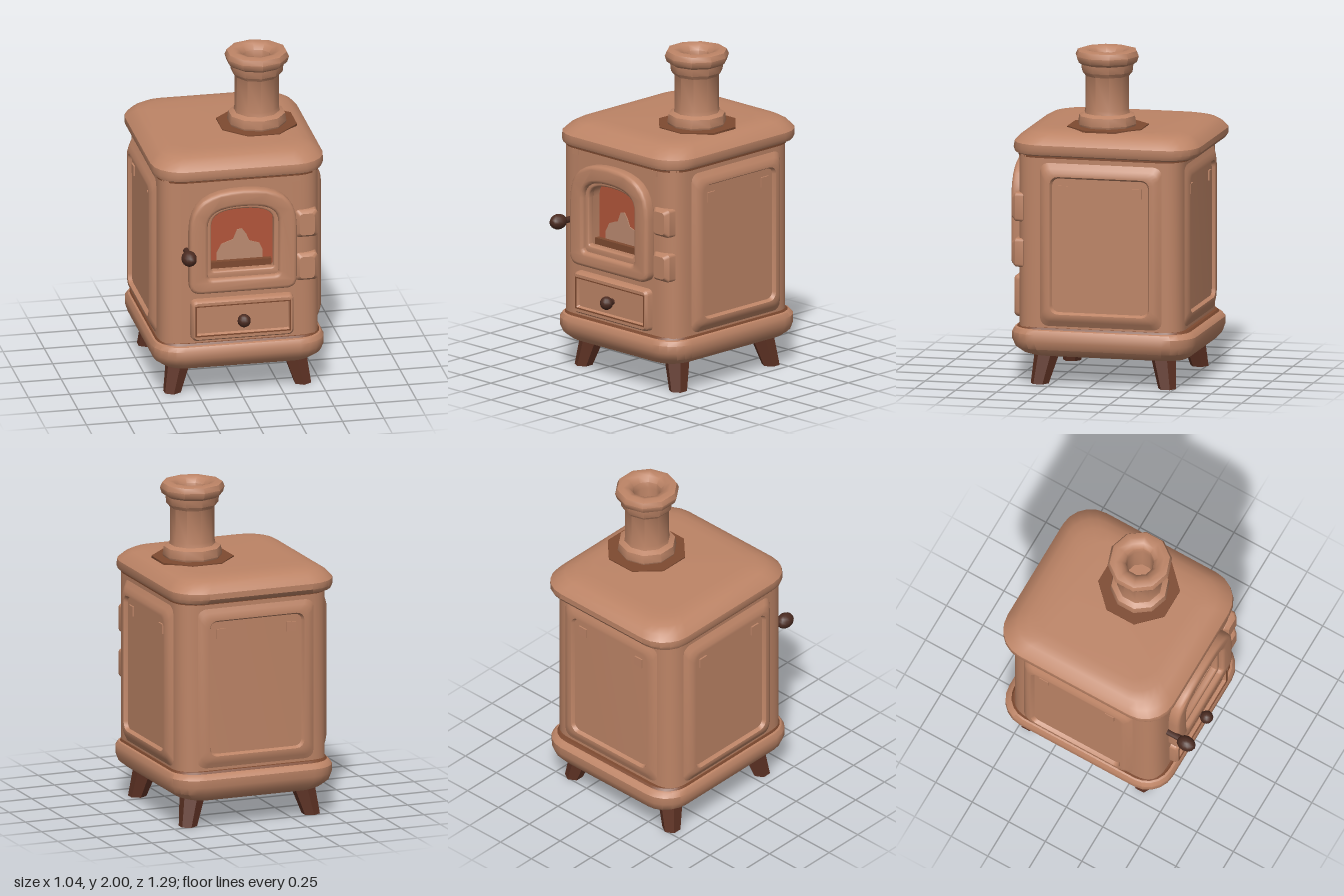
import * as THREE from 'three';
import { toCreasedNormals } from 'three/addons/utils/BufferGeometryUtils.js';

const paint = (name, color, side = THREE.FrontSide) => {
  const m = new THREE.MeshStandardMaterial({ color, side });
  m.name = name;
  return m;
};

// Rounded rectangles stacked along +z; each section is [z, halfWidth, halfHeight, cornerRadius, centreY]
function loft(sections, steps = 4) {
  const pos = [], idx = [], n = 4 * (steps + 1);
  for (const [z, hx, hy, r, cy = 0] of sections) {
    for (let c = 0; c < 4; c++) {
      const sx = c === 0 || c === 3 ? 1 : -1, sy = c < 2 ? 1 : -1;
      for (let i = 0; i <= steps; i++) {
        const a = (c + i / steps) * Math.PI / 2;
        pos.push(sx * (hx - r) + r * Math.cos(a), cy + sy * (hy - r) + r * Math.sin(a), z);
      }
    }
  }
  const last = (sections.length - 1) * n;
  for (let s = 0; s < last; s += n) {
    for (let i = 0; i < n; i++) {
      const j = (i + 1) % n;
      idx.push(s + i, s + j, s + n + j, s + i, s + n + j, s + n + i);
    }
  }
  for (let i = 1; i < n - 1; i++) {
    idx.push(0, i + 1, i, last, last + i, last + i + 1);
  }
  const g = new THREE.BufferGeometry();
  g.setAttribute('position', new THREE.Float32BufferAttribute(pos, 3));
  g.setIndex(idx);
  return toCreasedNormals(g, 0.6);
}

// Horizontal slab: rows of [y, halfWidth, backZ, frontZ, cornerRadius]
const slab = rows => loft(rows.map(([y, hx, z0, z1, r]) =>
  [y, hx, (z1 - z0) / 2, r, -(z0 + z1) / 2]), 5).rotateX(-Math.PI / 2);

// Arched outline with rounded lower corners
function arch(hx, y0, ySide, yTop, r) {
  const s = new THREE.Shape();
  s.moveTo(-hx + r, y0);
  s.lineTo(hx - r, y0);
  s.quadraticCurveTo(hx, y0, hx, y0 + r);
  s.lineTo(hx, ySide);
  s.bezierCurveTo(hx, yTop - (yTop - ySide) * 0.25, hx * 0.65, yTop, 0, yTop);
  s.bezierCurveTo(-hx * 0.65, yTop, -hx, yTop - (yTop - ySide) * 0.25, -hx, ySide);
  s.lineTo(-hx, y0 + r);
  s.quadraticCurveTo(-hx, y0, -hx + r, y0);
  return s;
}

function rect(hx, y0, y1) {
  return new THREE.Shape([[-hx, y0], [hx, y0], [hx, y1], [-hx, y1]].map(p => new THREE.Vector2(...p)));
}

function extrude(shape, z, depth, bevel = 0) {
  const g = new THREE.ExtrudeGeometry(shape, {
    depth: depth - 2 * bevel, curveSegments: 8, bevelEnabled: bevel > 0,
    bevelThickness: bevel, bevelSize: bevel, bevelOffset: -bevel, bevelSegments: 3,
  });
  return toCreasedNormals(g.translate(0, 0, z + bevel), 0.6);
}

export function createModel() {
  const iron = paint('clayIron', 0xbd8466);
  const trim = paint('brownTrim', 0x7e4a30);
  const legBrown = paint('legBrown', 0x5e3224);
  const knobBrown = paint('knobBrown', 0x4c2c22);
  const glow = paint('glowRed', 0xb2553a);
  const flameTan = paint('flameTan', 0xbb8a70);
  const flueIron = paint('flueIron', 0xbd8466, THREE.DoubleSide);

  const stove = new THREE.Group();
  stove.name = 'stove';
  const add = (name, geo, mat, x = 0, y = 0, z = 0, parent = stove) => {
    const m = new THREE.Mesh(geo, mat);
    m.name = name;
    m.position.set(x, y, z);
    parent.add(m);
    return m;
  };

  // Body, notched behind the door, with a front wall pierced by the firebox
  const hx = 0.485, f = -0.455, b = 0.555, r = 0.14, nx = 0.285;
  const plan = new THREE.Shape();
  plan.moveTo(nx, -0.38);
  plan.lineTo(nx, f);
  plan.lineTo(hx - r, f);
  plan.quadraticCurveTo(hx, f, hx, f + r);
  plan.lineTo(hx, b - r);
  plan.quadraticCurveTo(hx, b, hx - r, b);
  plan.lineTo(r - hx, b);
  plan.quadraticCurveTo(-hx, b, -hx, b - r);
  plan.lineTo(-hx, f + r);
  plan.quadraticCurveTo(-hx, f, r - hx, f);
  plan.lineTo(-nx, f);
  plan.lineTo(-nx, -0.38);
  add('body', extrude(plan, 0.31, 1.09).rotateX(-Math.PI / 2), iron);
  const wall = rect(nx, 0.31, 1.4);
  wall.holes.push(arch(0.2, 0.79, 1.1, 1.21, 0.02));
  add('frontWall', extrude(wall, 0.38, 0.075), iron);

  // Base and domed lid
  add('base', slab([
    [0.17, 0.42, -0.55, 0.4, 0.12], [0.185, 0.46, -0.575, 0.44, 0.14], [0.22, 0.505, -0.605, 0.48, 0.16],
    [0.265, 0.52, -0.62, 0.5, 0.17], [0.31, 0.52, -0.62, 0.5, 0.17], [0.335, 0.505, -0.6, 0.485, 0.16],
    [0.345, 0.48, -0.57, 0.46, 0.14]]), iron);
  add('baseSeam', slab([[0.34, 0.495, -0.585, 0.472, 0.15], [0.352, 0.49, -0.575, 0.465, 0.15]]), trim);
  add('lidSeam', slab([[1.375, 0.492, -0.578, 0.465, 0.15], [1.39, 0.492, -0.578, 0.465, 0.15]]), trim);
  add('lid', slab([
    [1.385, 0.49, -0.6, 0.465, 0.15], [1.395, 0.51, -0.625, 0.485, 0.17], [1.42, 0.522, -0.643, 0.495, 0.19],
    [1.455, 0.52, -0.643, 0.49, 0.19], [1.49, 0.49, -0.615, 0.455, 0.18], [1.515, 0.45, -0.575, 0.41, 0.16],
    [1.528, 0.4, -0.52, 0.36, 0.14], [1.532, 0.34, -0.46, 0.3, 0.12]]), iron);
  const outline = rect(0.3, -0.25, 0.4);
  outline.holes.push(rect(0.285, -0.235, 0.385));
  add('undersideOutline', extrude(outline, 0.165, 0.006).rotateX(-Math.PI / 2), trim);

  // Raised frames with sunken panels on both sides and the back
  const panels = [['leftPanel', 0.48, -0.07, 90], ['rightPanel', -0.48, -0.07, -90], ['backPanel', 0, -0.55, 180]];
  for (const [name, x, z, turn] of panels) {
    const p = new THREE.Group();
    p.name = name;
    p.position.set(x, 0.855, z);
    p.rotation.y = turn * Math.PI / 180;
    stove.add(p);
    const h = turn === 180 ? 0.026 : 0.04;
    add('panelFrame', loft([
      [0, 0.375, 0.5, 0.05], [h * 0.6, 0.355, 0.46, 0.05], [h, 0.33, 0.435, 0.05],
      [h, 0.305, 0.415, 0.05], [h - 0.022, 0.293, 0.403, 0.04]]), iron, 0, 0, 0, p);
    for (const s of [-1, 1]) {
      add('panelTab', new THREE.BoxGeometry(0.06, 0.06, 0.012), iron, s * 0.225, 0.33, h - 0.018, p);
    }
  }
  for (const s of [-1, 1]) add('frontTab', new THREE.BoxGeometry(0.045, 0.035, 0.02), iron, s * 0.33, 1.355, 0.452);

  // Arched door with inner trim, fire and hinges
  const door = arch(0.325, 0.68, 1.07, 1.328, 0.07);
  door.holes.push(arch(0.215, 0.77, 1.1, 1.222, 0.03));
  add('door', extrude(door, 0.44, 0.082, 0.022), iron);
  const lip = arch(0.237, 0.755, 1.1, 1.235, 0.03);
  lip.holes.push(arch(0.19, 0.81, 1.1, 1.2, 0.02));
  add('windowLip', extrude(lip, 0.445, 0.045, 0.01), iron);
  add('window', extrude(arch(0.2, 0.79, 1.1, 1.21, 0.02), 0.379, 0.008), glow);
  const flame = [[-0.14, 0.8], [0.14, 0.8], [0.14, 0.89], [0.12, 0.935], [0.06, 0.955], [0.04, 1.0], [0.015, 1.035],
    [-0.015, 1.03], [-0.04, 0.97], [-0.07, 0.96], [-0.11, 0.945], [-0.14, 0.89]];
  add('flame', extrude(new THREE.Shape(flame.map(p => new THREE.Vector2(...p))), 0.39, 0.006), flameTan);
  add('emberBar', new THREE.BoxGeometry(0.37, 0.04, 0.03), trim, 0, 0.83, 0.425);
  for (const y of [0.79, 1.065]) {
    add('hinge', loft([[0, 0.068, 0.088, 0.02], [0.05, 0.066, 0.086, 0.02], [0.075, 0.045, 0.068, 0.02]]),
      iron, 0.392, y, 0.41);
  }

  // Ash drawer
  add('drawer', loft([
    [0, 0.312, 0.13, 0.03], [0.045, 0.308, 0.126, 0.03], [0.06, 0.297, 0.115, 0.025],
    [0.06, 0.288, 0.098, 0.01], [0.035, 0.275, 0.085, 0.008]]), iron, 0, 0.503, 0.445);
  const rim = rect(0.288, -0.098, 0.098);
  rim.holes.push(rect(0.281, -0.091, 0.091));
  add('drawerOutline', extrude(rim, 0.5, 0.006), trim, 0, 0.503, 0);

  // Drawer knob and door handle
  const ball = new THREE.SphereGeometry(0.04, 12, 8);
  const stem = new THREE.CylinderGeometry(0.02, 0.02, 0.08, 8).rotateX(Math.PI / 2);
  add('drawerKnob', ball, knobBrown, 0, 0.5, 0.53);
  add('drawerKnobStem', stem, knobBrown, 0, 0.5, 0.5);
  add('doorHandle', ball, knobBrown, -0.345, 0.945, 0.588).scale.set(1.15, 1.15, 1.5);
  add('doorHandleStem', stem, knobBrown, -0.335, 0.945, 0.5).scale.z = 1.6;

  // Flue pipe with collars and a rolled rim
  const profile = [[0.165, 1.525], [0.178, 1.55], [0.17, 1.6], [0.138, 1.615], [0.133, 1.64], [0.133, 1.84],
    [0.155, 1.865], [0.16, 1.91], [0.182, 1.925], [0.193, 1.96], [0.18, 1.99], [0.145, 2], [0.11, 1.99],
    [0.086, 1.96], [0.08, 1.92], [0.08, 1.7], [0, 1.7]].map(p => new THREE.Vector2(...p));
  add('flue', toCreasedNormals(new THREE.LatheGeometry(profile, 10), 0.7), flueIron, 0.192, 0, -0.037);
  add('flueBasePlate', new THREE.CylinderGeometry(0.245, 0.245, 0.012, 8).rotateY(Math.PI / 8),
    trim, 0.192, 1.532, -0.042);

  // Splayed, tapering legs
  for (const sx of [-1, 1]) {
    for (const [sz, z] of [[1, 0.325], [-1, -0.455]]) {
      const g = new THREE.CylinderGeometry(0.08, 0.055, 0.21, 6).translate(0, 0.105, 0);
      const p = g.attributes.position;
      for (let i = 0; i < p.count; i++) {
        const k = p.getY(i) / 0.21;
        p.setXYZ(i, p.getX(i) - sx * 0.05 * k, p.getY(i), p.getZ(i) - sz * 0.04 * k);
      }
      add('leg', toCreasedNormals(g, 0.5), legBrown, sx * 0.395, 0, z);
    }
  }
  return stove;
}
